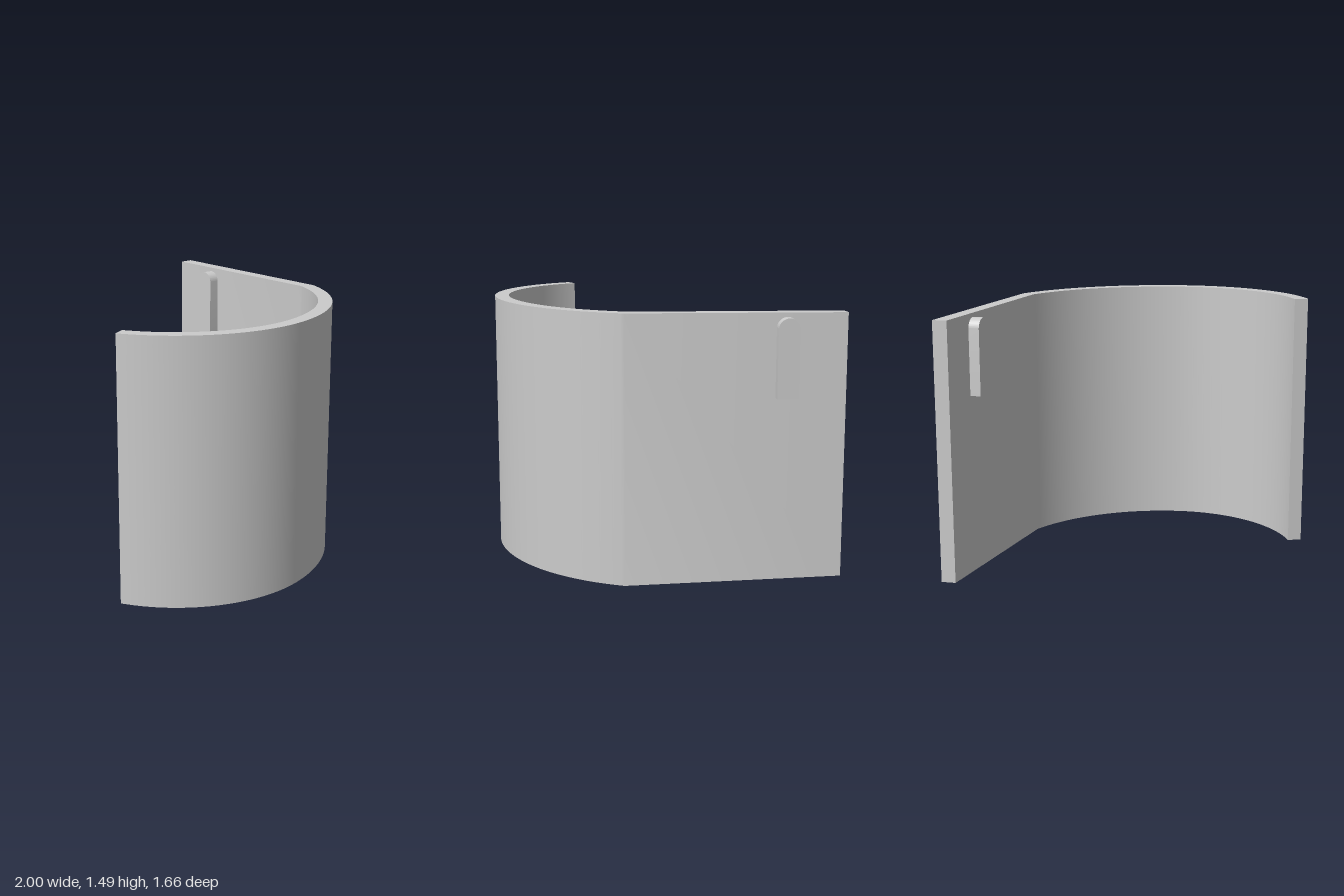
import * as THREE from 'three';
import { toCreasedNormals } from 'three/addons/utils/BufferGeometryUtils.js';

const HEIGHT = 1.485;
const material = new THREE.MeshStandardMaterial({ color: 0xcccccc });

// Curved wall running into a straight panel, drawn in plan (shape y = -z)
function curvedWall() {
  const cx = -0.2, leftY = 0.006, rightY = 0.256;
  const start = Math.PI + 0.275, bottom = Math.PI * 1.5, end = Math.PI * 2 - 0.562;
  const plan = new THREE.Shape();
  plan.absarc(cx, leftY, 0.831, start, bottom, false);
  plan.absarc(cx, rightY, 1.081, bottom, end, false);
  plan.lineTo(0.992, 0.823);
  plan.lineTo(0.912, 0.833);
  plan.absarc(cx, rightY, 1.0, end, bottom, true);
  plan.absarc(cx, leftY, 0.75, bottom, start, true);
  plan.closePath();

  const geometry = new THREE.ExtrudeGeometry(plan, { depth: HEIGHT, bevelEnabled: false, curveSegments: 28 });
  geometry.rotateX(-Math.PI / 2);

  // The lower edge of the straight panel rises toward its free end
  const p = geometry.attributes.position;
  for (let i = 0; i < p.count; i++) {
    if (p.getY(i) < 0.01 && p.getX(i) > 0.6 && p.getZ(i) < 0) p.setY(i, 0.04);
  }
  const mesh = new THREE.Mesh(toCreasedNormals(geometry, 0.35), material);
  mesh.name = 'curvedWall';
  return mesh;
}

// Round-topped peg passing through the panel at a right angle
function peg() {
  const r = 0.058, low = 1.035, spring = 1.404, length = 0.208;
  const outline = new THREE.Shape();
  outline.moveTo(-r, low);
  outline.lineTo(r, low);
  outline.lineTo(r, spring);
  outline.absarc(0, spring, r, 0, Math.PI, false);
  outline.closePath();
  const geometry = new THREE.ExtrudeGeometry(outline, { depth: length, bevelEnabled: false, curveSegments: 20 });
  geometry.translate(0, 0, -length / 2);
  const mesh = new THREE.Mesh(toCreasedNormals(geometry, 0.5), material);
  mesh.name = 'peg';
  mesh.position.set(0.881, 0, -0.522);
  mesh.rotation.y = Math.atan2(0.972, 0.234);
  return mesh;
}

export function createModel() {
  const model = new THREE.Group();
  model.name = 'curvedPanel';
  model.add(curvedWall(), peg());
  return model;
}
